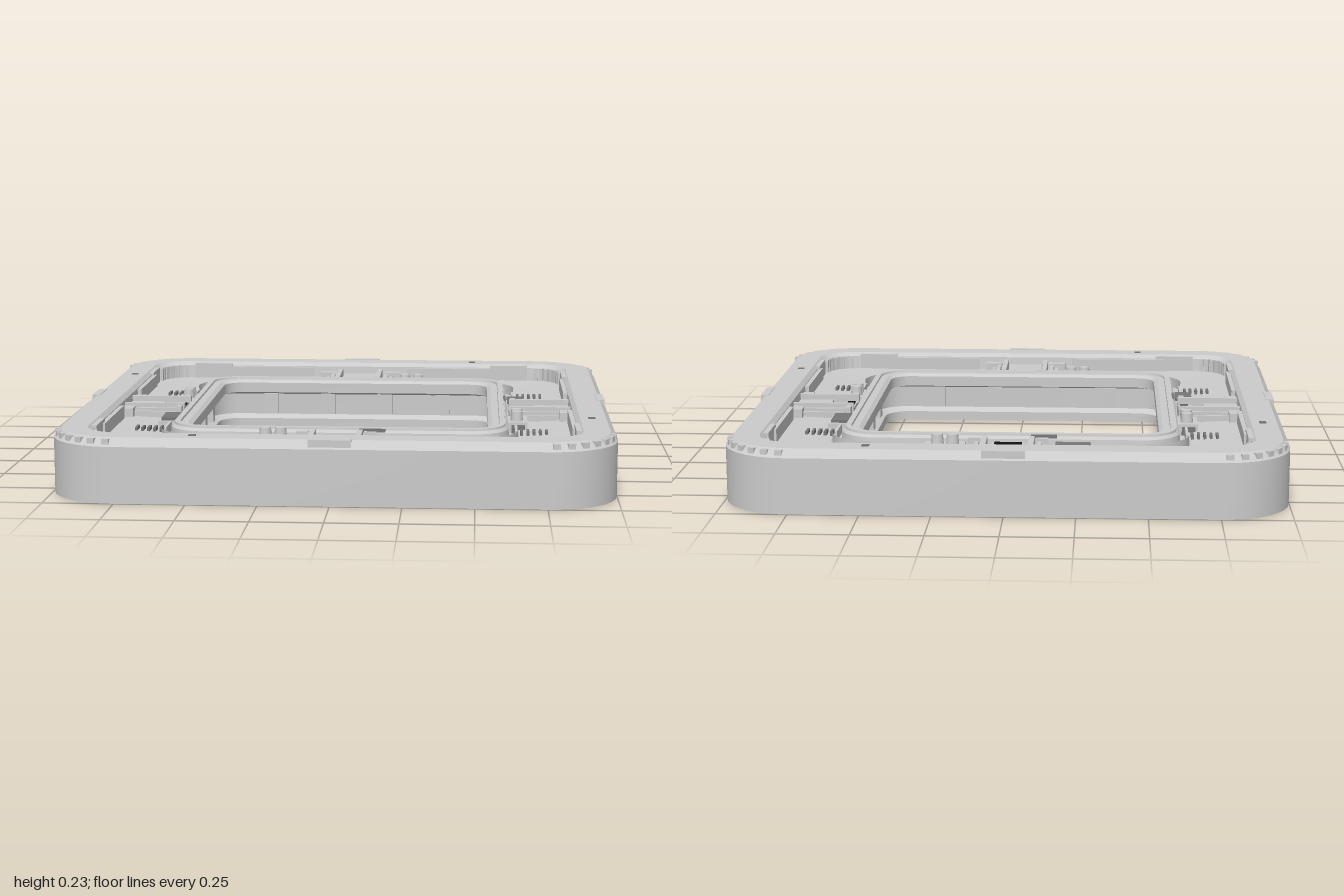
import * as THREE from 'three';
import { toCreasedNormals } from 'three/addons/utils/BufferGeometryUtils.js';

const grey = new THREE.MeshStandardMaterial({ color: 0xcccccc });
const greyOpen = new THREE.MeshStandardMaterial({ color: 0xcccccc, side: THREE.DoubleSide });
const dark = new THREE.MeshStandardMaterial({ color: 0x777777 });
const black = new THREE.MeshStandardMaterial({ color: 0x111111 });

// Sweep a closed profile of [half width, height, corner radius] around a rounded square
function squareRing(profile, steps = 10) {
  const pos = [], index = [], n = 4 * (steps + 1), m = profile.length;
  for (const [half, y, r] of profile) {
    for (let c = 0; c < 4; c++) {
      const mid = Math.PI / 4 + c * Math.PI / 2;
      const cx = Math.sign(Math.cos(mid)) * (half - r), cz = Math.sign(Math.sin(mid)) * (half - r);
      for (let s = 0; s <= steps; s++) {
        const a = (c + s / steps) * Math.PI / 2;
        pos.push(cx + r * Math.cos(a), y, cz + r * Math.sin(a));
      }
    }
  }
  for (let i = 0; i < m; i++) {
    for (let j = 0; j < n; j++) {
      const k = (i + 1) % m, l = (j + 1) % n;
      const a = i * n + j, b = k * n + j, c = k * n + l, d = i * n + l;
      index.push(a, b, d, b, c, d);
    }
  }
  const geo = new THREE.BufferGeometry();
  geo.setAttribute('position', new THREE.Float32BufferAttribute(pos, 3));
  geo.setIndex(index);
  return toCreasedNormals(geo, 0.4);
}

function add(parent, name, geo, mat, x = 0, y = 0, z = 0) {
  const mesh = new THREE.Mesh(geo, mat);
  mesh.name = name;
  mesh.position.set(x, y, z);
  parent.add(mesh);
  return mesh;
}

// Box given by its min and max on each axis
function box(parent, name, [x0, x1], [y0, y1], [z0, z1], mat = grey) {
  return add(parent, name, new THREE.BoxGeometry(x1 - x0, y1 - y0, z1 - z0), mat,
    (x0 + x1) / 2, (y0 + y1) / 2, (z0 + z1) / 2);
}

// Fittings along one side, laid out for the +z side
function makeSide() {
  const g = new THREE.Group();
  g.name = 'sideFittings';

  // Central bay with a stepped floor and a black slot
  box(g, 'bayFloor', [-0.07, 0.07], [0.13, 0.168], [0.63, 0.87]);
  box(g, 'bayStep', [-0.07, 0.07], [0.16, 0.185], [0.73, 0.87]);
  box(g, 'baySill', [-0.06, 0.06], [0.16, 0.18], [0.63, 0.68]);
  box(g, 'baySlot', [-0.05, 0.05], [0.17, 0.184], [0.64, 0.67], black);
  box(g, 'edgeTab', [-0.075, 0.075], [0.2, 0.232], [0.965, 0.995]);

  // Rails and braces on both sides of the bay
  for (const s of [-1, 1]) {
    const span = (a, b) => s > 0 ? [a, b] : [-b, -a];
    box(g, 'bayRail', span(0.075, 0.095), [0.14, 0.205], [0.63, 0.87]);
    box(g, 'braceBar', span(0.105, 0.12), [0.14, 0.19], [0.65, 0.85]);
    box(g, 'braceBar', span(0.128, 0.14), [0.14, 0.18], [0.66, 0.84]);
    box(g, 'braceFoot', span(0.1, 0.17), [0.15, 0.195], [0.82, 0.87]);
    box(g, 'braceCap', span(0.1, 0.145), [0.15, 0.2], [0.635, 0.655]);
    box(g, 'wallStrip', span(0.2, 0.6), [0.16, 0.212], [0.848, 0.87]);
    box(g, 'wallStripEnd', span(0.56, 0.72), [0.16, 0.225], [0.856, 0.875]);
    box(g, 'rimSkirt', span(0.32, 0.46), [0.14, 0.175], [0.645, 0.655]);
    // Floor vents
    for (let i = 0; i < 5; i++) {
      const z = 0.665 + i * 0.023;
      box(g, 'ventSlat', span(0.385, 0.44), [0.145, 0.17], [z, z + 0.01], dark);
    }
  }

  // Flat panel on one flank
  box(g, 'panelBase', [0.16, 0.31], [0.14, 0.172], [0.62, 0.7]);
  box(g, 'panel', [0.17, 0.295], [0.16, 0.183], [0.625, 0.69], dark);
  box(g, 'rimPlate', [0.08, 0.175], [0.18, 0.205], [0.592, 0.618], dark);

  // Twin canister block on the other flank
  box(g, 'canisterBlock', [-0.3, -0.155], [0.14, 0.18], [0.62, 0.695]);
  box(g, 'canisterSide', [-0.315, -0.3], [0.14, 0.17], [0.635, 0.685], dark);
  for (const x of [-0.255, -0.2]) {
    add(g, 'canister', new THREE.CylinderGeometry(0.02, 0.024, 0.04, 12), grey, x, 0.195, 0.655);
  }

  // Small bolt on the outer rim
  box(g, 'rimBolt', [-0.495, -0.47], [0.22, 0.233], [0.91, 0.935], dark);

  // Blocks on the inner wall of the opening
  for (const x of [-0.36, -0.12, 0.12, 0.36]) {
    box(g, 'openingBlock', [x - 0.03, x + 0.03], [0.055, 0.14], [0.575, 0.61]);
  }
  return g;
}

// Corner details, laid out for the +x +z corner
function makeCorner() {
  const g = new THREE.Group();
  g.name = 'cornerFittings';
  // Curved skirt outside the inner rim
  add(g, 'rimGuard', new THREE.CylinderGeometry(0.16, 0.16, 0.05, 12, 1, true, 0, Math.PI / 2),
    greyOpen, 0.495, 0.16, 0.495);
  // Ribs on the outer chamfer and around the inside of the wall
  for (let i = 0; i < 7; i++) {
    const a = (i + 0.5) / 7 * Math.PI / 2;
    const place = (name, centre, radius, y, geo) => {
      const rib = add(g, name, geo, grey,
        centre + radius * Math.cos(a), y, centre + radius * Math.sin(a));
      rib.rotation.y = -a;
    };
    place('chamferRib', 0.75, 0.23, 0.211, new THREE.BoxGeometry(0.026, 0.03, 0.026));
    place('wallRib', 0.745, 0.115, 0.188, new THREE.BoxGeometry(0.025, 0.055, 0.016));
  }
  return g;
}

export function createModel() {
  const model = new THREE.Group();
  model.name = 'squareRingPlatform';

  // Body: outer wall, rim, sunken floor, inner rim and channelled opening
  add(model, 'body', squareRing([
    [1, 0, 0.25], [1, 0.2, 0.25], [0.975, 0.23, 0.235],
    [0.88, 0.23, 0.13], [0.865, 0.215, 0.12], [0.86, 0.163, 0.115],
    [0.66, 0.153, 0.16], [0.65, 0.14, 0.155], [0.625, 0.14, 0.14],
    [0.62, 0.19, 0.135], [0.612, 0.2, 0.13], [0.56, 0.2, 0.09],
    [0.545, 0.19, 0.08], [0.545, 0.15, 0.08], [0.6, 0.135, 0.11],
    [0.6, 0.05, 0.11], [0.57, 0.035, 0.1], [0.57, 0, 0.1],
  ]), grey);

  // Raised bead on the inner rim
  add(model, 'rimBead', squareRing([
    [0.61, 0.195, 0.128], [0.608, 0.208, 0.127], [0.588, 0.208, 0.112], [0.585, 0.195, 0.11],
  ]), grey);

  for (let i = 0; i < 4; i++) {
    for (const part of [makeSide(), makeCorner()]) {
      part.rotation.y = i * Math.PI / 2;
      model.add(part);
    }
  }
  return model;
}
